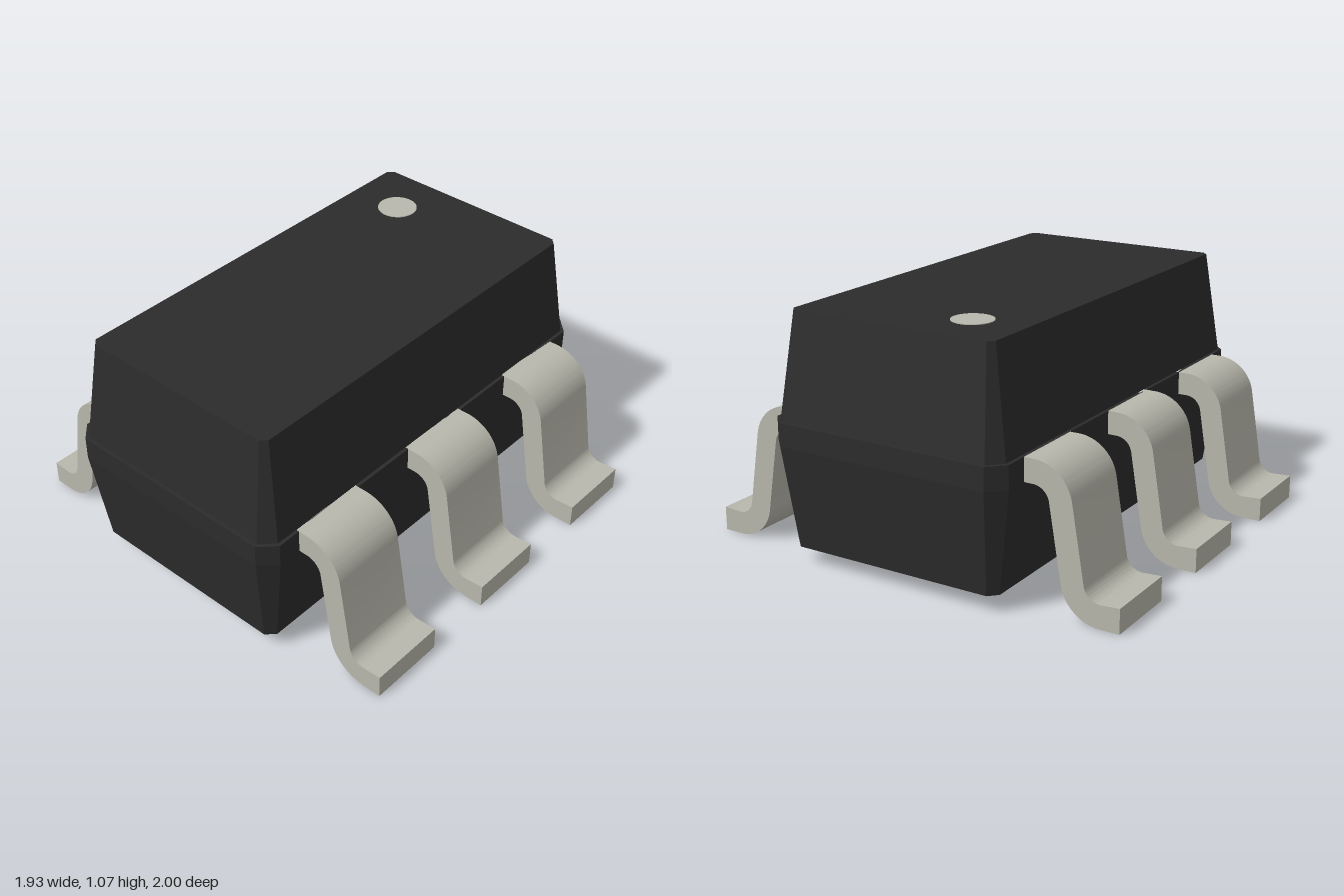
import * as THREE from 'three';
import { toCreasedNormals } from 'three/addons/utils/BufferGeometryUtils.js';

// Rectangle with cut corners, counter-clockwise from above
function ring([y, hx, hz, c]) {
  const ix = hx - c, iz = hz - c;
  return [[hx, iz], [hx, -iz], [ix, -hz], [-ix, -hz], [-hx, -iz], [-hx, iz], [-ix, hz], [ix, hz]]
    .map(([x, z]) => [x, y, z]);
}

// Flat-sided loft through the rings, closed at both ends
function loft(sections) {
  const rings = sections.map(ring);
  const pos = [];
  const tri = (...pts) => pts.forEach((p) => pos.push(...p));
  for (let r = 0; r < rings.length - 1; r++) {
    const lo = rings[r], hi = rings[r + 1];
    for (let i = 0; i < 8; i++) {
      const j = (i + 1) % 8;
      tri(lo[i], lo[j], hi[j]);
      tri(lo[i], hi[j], hi[i]);
    }
  }
  const bottom = rings[0], top = rings[rings.length - 1];
  for (let i = 1; i < 7; i++) {
    tri(bottom[0], bottom[i + 1], bottom[i]);
    tri(top[0], top[i], top[i + 1]);
  }
  const geo = new THREE.BufferGeometry();
  geo.setAttribute('position', new THREE.Float32BufferAttribute(pos, 3));
  geo.computeVertexNormals();
  return geo;
}

// Bent strip: shoulder, sloping shin and flat foot
function leadGeometry(width) {
  const tilt = THREE.MathUtils.degToRad(9.7);
  const outer = 0.17, inner = 0.07;
  const s = new THREE.Shape();
  s.moveTo(0.5, 0.52);
  s.lineTo(0.59, 0.52);
  s.absarc(0.59, 0.45, inner, Math.PI / 2, tilt, true);
  s.absarc(0.88, 0.17, outer, Math.PI + tilt, Math.PI * 1.5, false);
  s.lineTo(0.965, 0);
  s.lineTo(0.965, 0.105);
  s.lineTo(0.88, 0.1);
  s.absarc(0.88, 0.17, inner, Math.PI * 1.5, Math.PI + tilt, true);
  s.absarc(0.59, 0.45, outer, tilt, Math.PI / 2, false);
  s.lineTo(0.5, 0.62);
  s.closePath();
  const geo = new THREE.ExtrudeGeometry(s, { depth: width, bevelEnabled: false, curveSegments: 12 });
  geo.translate(0, 0, -width / 2);
  return toCreasedNormals(geo, 0.5);
}

export function createModel() {
  const model = new THREE.Group();
  model.name = 'chipPackage';

  const plastic = new THREE.MeshStandardMaterial({ color: 0x2c2c2c });
  plastic.name = 'blackPlastic';
  const metal = new THREE.MeshStandardMaterial({ color: 0xb9b8ad });
  metal.name = 'tinnedMetal';

  // Body: tapered lower half, straight belt, small ledge, tapered upper half
  const body = new THREE.Mesh(loft([
    [0.075, 0.49, 0.94, 0.037],
    [0.52, 0.55, 1.0, 0.067],
    [0.62, 0.55, 1.0, 0.067],
    [0.62, 0.535, 0.985, 0.057],
    [1.07, 0.472, 0.92, 0.025],
  ]), plastic);
  body.name = 'body';
  model.add(body);

  // Pin one marker
  const marker = new THREE.Mesh(new THREE.CylinderGeometry(0.087, 0.087, 0.006, 40), metal);
  marker.name = 'pinOneMarker';
  marker.position.set(-0.23, 1.07, -0.68);
  model.add(marker);

  // Three leads on each side
  const geo = leadGeometry(0.344);
  for (const side of [1, -1]) {
    for (const z of [-0.655, 0, 0.655]) {
      const lead = new THREE.Mesh(geo, metal);
      lead.name = side > 0 ? 'leftLead' : 'rightLead';
      lead.position.z = z;
      lead.rotation.y = side > 0 ? 0 : Math.PI;
      model.add(lead);
    }
  }
  return model;
}
